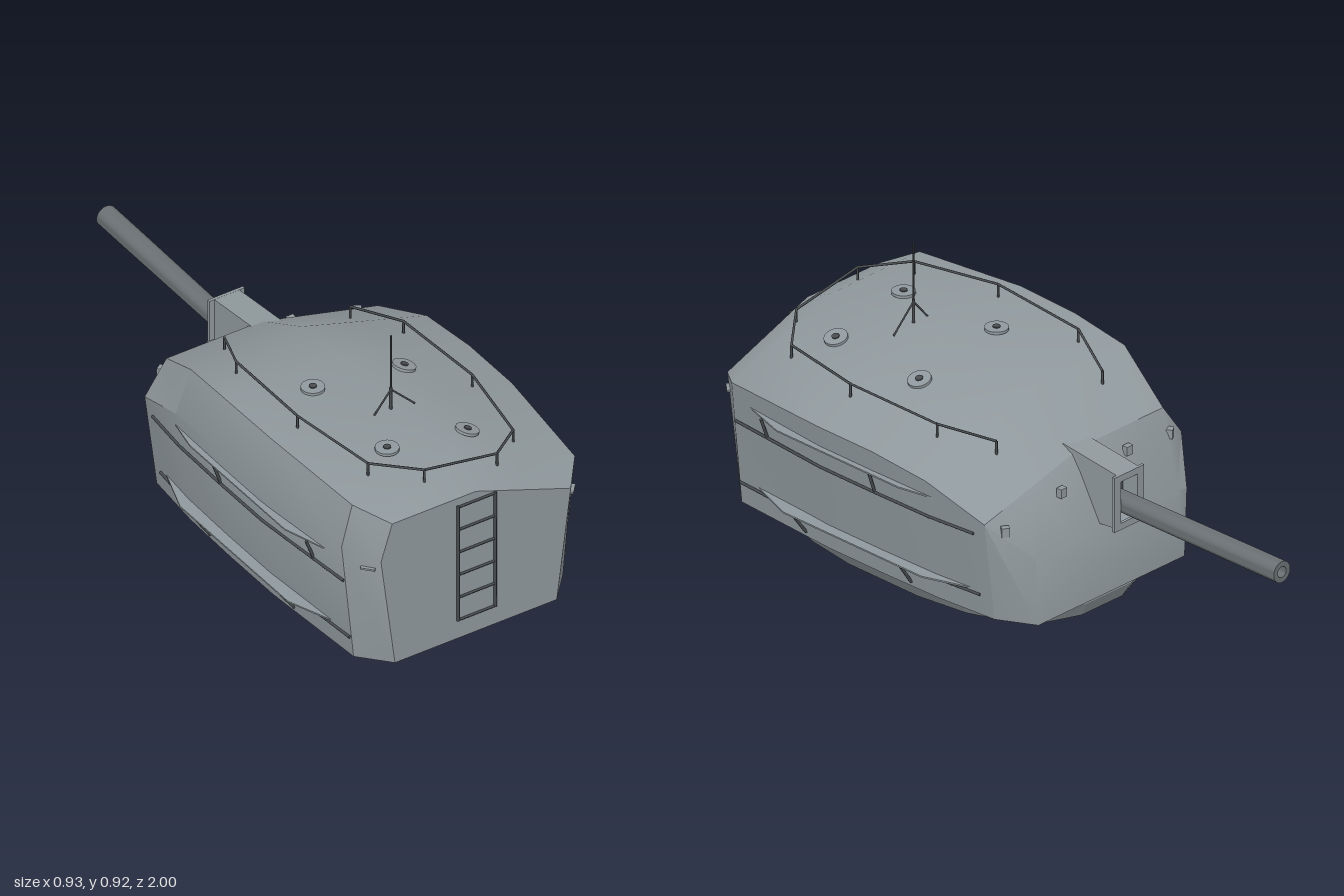
import * as THREE from 'three';
import { toCreasedNormals } from 'three/addons/utils/BufferGeometryUtils.js';

const armour = new THREE.MeshStandardMaterial({ color: 0x8f989c, side: THREE.DoubleSide });
const dark = new THREE.MeshStandardMaterial({ color: 0x484c4f });
const V = (x, y, z) => new THREE.Vector3(x, y, z);
const FLOOR = 0.075;

// Hull stations: z, roof height, high corner x, shoulder x, shoulder y, floor half width
const stations = [
  [0.99, 0.59, 0.30, 0.34, 0.465, 0.29],
  [0.895, 0.635, 0.38, 0.418, 0.495, 0.375],
  [0.5, 0.655, 0.41, 0.456, 0.51, 0.40],
  [0.27, 0.65, 0.408, 0.456, 0.51, 0.40],
  [0.05, 0.63, 0.395, 0.45, 0.49, 0.395],
  [-0.165, 0.52, 0.34, 0.418, 0.41, 0.375],
  [-0.285, 0.31, 0.28, 0.32, 0.30, 0.31],
];

// Interpolated station at any z
function stationAt(z) {
  let i = 0;
  while (i < stations.length - 2 && z < stations[i + 1][0]) i++;
  const a = stations[i], b = stations[i + 1];
  const t = THREE.MathUtils.clamp((a[0] - z) / (a[0] - b[0]), 0, 1);
  return a.map((v, k) => v + (b[k] - v) * t);
}
function roofY(x, z) {
  const [, top, , sx, sy] = stationAt(z);
  return x <= 0 ? top : top + (sy - top) * x / sx;
}
function sideX(y, z) {
  const [, , , sx, sy, b] = stationAt(z);
  return b + (sx - b) * (y - FLOOR) / (sy - FLOOR);
}

function add(parent, name, geometry, material, x = 0, y = 0, z = 0) {
  const mesh = new THREE.Mesh(geometry, material);
  mesh.name = name;
  mesh.position.set(x, y, z);
  parent.add(mesh);
  return mesh;
}
function addGroup(parent, name) {
  const group = new THREE.Group();
  group.name = name;
  parent.add(group);
  return group;
}
// Straight round bar between two points
function rod(parent, name, a, b, r = 0.004) {
  const mesh = add(parent, name, new THREE.CylinderGeometry(r, r, a.distanceTo(b), 6), dark);
  mesh.position.copy(a).add(b).multiplyScalar(0.5);
  mesh.quaternion.setFromUnitVectors(V(0, 1, 0), b.clone().sub(a).normalize());
}
function rodPath(parent, name, points, r) {
  for (let i = 1; i < points.length; i++) rod(parent, name, points[i - 1], points[i], r);
}
// Skin through equal rings, ordered counterclockwise seen from the first end
function loft(rings, capFirst, capLast) {
  const n = rings[0].length, pos = rings.flat().flatMap(p => p.toArray()), idx = [];
  for (let i = 0; i < rings.length - 1; i++)
    for (let j = 0; j < n; j++) {
      const a = i * n + j, b = i * n + (j + 1) % n;
      idx.push(a, a + n, b, b, a + n, b + n);
    }
  const last = (rings.length - 1) * n;
  for (let j = 1; j < n - 1; j++) {
    if (capFirst) idx.push(0, j, j + 1);
    if (capLast) idx.push(last, last + j + 1, last + j);
  }
  const g = new THREE.BufferGeometry();
  g.setAttribute('position', new THREE.Float32BufferAttribute(pos, 3));
  g.setIndex(idx);
  return g;
}
const rect = (w, h) => [[-w, -h], [w, -h], [w, h], [-w, h]].map(p => new THREE.Vector2(...p));

export function createModel() {
  const turret = new THREE.Group();
  turret.name = 'gunTurret';

  // Armoured hull with a roof that falls away to the model's left, and a smoothly rounded gun end
  const hullRings = stations.map(([z, top, cx, sx, sy, b]) => [
    V(-b, FLOOR, z), V(b, FLOOR, z), V(sx, sy, z), V(sx / 2, (top + sy) / 2, z),
    V(0, top, z), V(-cx, top, z), V(-sx, sy, z)]);
  add(turret, 'hull', toCreasedNormals(loft(hullRings.slice(0, 6), true, false), 0.52), armour);
  add(turret, 'hullNose', toCreasedNormals(loft(hullRings.slice(5), false, true), 1.0), armour);

  // Tapered base skirt, open below, around the turning ring
  const skirtRing = (y, rx, rz, cz) => Array.from({ length: 20 }, (_, i) => {
    const a = (i + 0.5) / 20 * Math.PI * 2, c = Math.cos(a), s = Math.sin(a), e = 0.75;
    return V(Math.sign(c) * Math.abs(c) ** e * rx, y, cz - Math.sign(s) * Math.abs(s) ** e * rz);
  });
  const skirt = loft([skirtRing(0.076, 0.385, 0.63, 0.347), skirtRing(0.065, 0.385, 0.63, 0.347),
    skirtRing(0.01, 0.347, 0.582, 0.332)], false, false);
  add(turret, 'baseSkirt', toCreasedNormals(skirt, 0.2), armour);
  add(turret, 'turningRing', new THREE.CylinderGeometry(0.28, 0.28, 0.08, 40), armour, 0, 0.04, 0.2);

  // Gun shroud: two cheeks, lid, floor and front frame
  const shroud = addGroup(turret, 'gunShroud');
  const cheek = new THREE.Shape([[0.12, 0.53], [0.35, 0.505], [0.35, 0.325], [0.26, 0.315], [0.12, 0.32]]
    .map(p => new THREE.Vector2(...p)));
  for (const x of [-0.045, 0.033]) {
    const g = new THREE.ExtrudeGeometry(cheek, { depth: 0.012, bevelEnabled: false });
    g.rotateY(Math.PI / 2);
    add(shroud, 'shroudCheek', g, armour, x);
  }
  add(shroud, 'shroudLid', new THREE.BoxGeometry(0.09, 0.012, 0.23), armour, 0, 0.512, -0.236).rotation.x = -0.108;
  add(shroud, 'shroudFloor', new THREE.BoxGeometry(0.09, 0.012, 0.15), armour, 0, 0.328, -0.276);
  add(shroud, 'shroudBack', new THREE.BoxGeometry(0.08, 0.18, 0.01), dark, 0, 0.415, -0.295);
  const frame = new THREE.Shape(rect(0.063, 0.092));
  frame.holes.push(new THREE.Path(rect(0.035, 0.07)));
  add(shroud, 'shroudFrame', new THREE.ExtrudeGeometry(frame, { depth: 0.01, bevelEnabled: false }),
    armour, 0, 0.414, -0.36);

  // Hollow barrel, raised slightly
  const barrel = new THREE.LatheGeometry([[0.018, 0.6], [0.018, 0.76], [0.035, 0.76], [0.035, 0.6], [0.033, 0]]
    .map(p => new THREE.Vector2(...p)), 24);
  const barrelMesh = add(turret, 'barrel', toCreasedNormals(barrel, 0.6),
    new THREE.MeshStandardMaterial({ color: 0x6a7073, side: THREE.DoubleSide }), 0, 0.394, -0.24);
  barrelMesh.rotation.x = -Math.PI / 2 + 0.016;
  add(turret, 'boreEnd', new THREE.CylinderGeometry(0.019, 0.019, 0.01, 16), dark, 0, 0.404, -0.84).rotation.x = Math.PI / 2;

  // Rear ladder
  const ladder = addGroup(turret, 'ladder');
  for (const x of [-0.066, 0.066]) rod(ladder, 'ladderRail', V(x, 0.143, 0.995), V(x, 0.565, 0.995), 0.005);
  for (let i = 0; i < 6; i++) {
    const y = 0.146 + i * 0.083;
    rod(ladder, 'ladderRung', V(-0.066, y, 0.995), V(0.066, y, 0.995));
  }

  // Roof railing on posts, open towards the gun
  const railing = addGroup(turret, 'roofRailing');
  const half = [[0.225, -0.025], [0.30, 0.15], [0.313, 0.5], [0.26, 0.8], [0.13, 0.908]];
  const railXZ = [...half.map(([x, z]) => [-x, z]), ...half.slice().reverse()];
  const railTop = railXZ.map(([x, z]) => V(x, roofY(x, z) + 0.043, z));
  rodPath(railing, 'railBar', railTop, 0.004);
  for (const p of railTop) rod(railing, 'railPost', V(p.x, p.y - 0.048, p.z), p);

  // Roof vents, those on the slope tilted with it
  for (const [x, z] of [[-0.165, 0.36], [0.16, 0.36], [-0.145, 0.73], [0.14, 0.73]]) {
    const vent = addGroup(turret, 'roofVent');
    vent.position.set(x, roofY(x, z), z);
    vent.rotation.z = x > 0 ? -0.3 : 0;
    add(vent, 'ventCap', new THREE.CylinderGeometry(0.037, 0.037, 0.009, 20), armour, 0, 0.007);
    add(vent, 'ventNeck', new THREE.CylinderGeometry(0.024, 0.024, 0.016, 16), armour);
    add(vent, 'ventKnob', new THREE.CylinderGeometry(0.012, 0.012, 0.006, 12), dark, 0, 0.012);
  }

  // Mast with two stays
  const mast = addGroup(turret, 'mast');
  rod(mast, 'mastFoot', V(-0.025, 0.645, 0.57), V(-0.025, 0.73, 0.57), 0.005);
  rod(mast, 'mastPole', V(-0.025, 0.72, 0.57), V(-0.025, 0.92, 0.57), 0.003);
  for (const x of [-0.095, 0.06]) rod(mast, 'mastStay', V(-0.025, 0.722, 0.57), V(x, 0.638, 0.57), 0.003);

  // Side walkways on two levels: plate, hull strip and struts
  const levels = [
    { y: 0.437, foot: 0.362, outer: 0.466, z0: 0.84, z1: -0.03, strip: 0.365, struts: [0.745, 0.275] },
    { y: 0.158, foot: 0.09, outer: 0.448, z0: 0.83, z1: -0.11, strip: 0.148, struts: [0.605, 0.16] }];
  const INSET = 0.18;
  for (const side of [-1, 1])
    for (const L of levels) {
      const walkway = addGroup(turret, 'sideWalkway');
      const outline = [];
      for (let i = 0; i <= 8; i++) {
        const z = L.z0 + (L.z1 - L.z0) * i / 8;
        outline.push(new THREE.Vector2(side * (sideX(L.y, z) - 0.006), -z));
      }
      outline.push(new THREE.Vector2(side * L.outer, -(L.z1 + INSET)), new THREE.Vector2(side * L.outer, -(L.z0 - INSET)));
      const plate = new THREE.ExtrudeGeometry(new THREE.Shape(outline), { depth: 0.005, bevelEnabled: false });
      plate.rotateX(-Math.PI / 2);
      add(walkway, 'walkwayPlate', plate, armour, 0, L.y - 0.002);
      const strip = [0.89, 0.7, 0.5, 0.27, 0.05, -0.12].map(z => V(side * (sideX(L.strip, z) + 0.003), L.strip, z));
      rodPath(walkway, 'hullStrip', strip, 0.005);
      for (const z of L.struts) {
        // Struts end at the plate edge, which tapers into the hull at both ends
        const taper = Math.min(1, (L.z0 - z) / INSET, (z - L.z1) / INSET);
        const edge = THREE.MathUtils.lerp(sideX(L.y, z), L.outer - 0.003, taper);
        rod(walkway, 'walkwayStrut', V(side * sideX(L.foot, z), L.foot, z), V(side * edge, L.y, z), 0.005);
      }
    }

  // Small fittings on the brow and rear corners
  for (const [x, y, z, turn] of [[-0.335, 0.45, -0.2, 0.6], [-0.15, 0.465, -0.205, 0], [0.14, 0.435, -0.215, 0], [0.37, 0.385, -0.205, -0.6]])
    add(turret, 'browBracket', new THREE.BoxGeometry(0.025, 0.03, 0.02), armour, x, y, z).rotation.y = turn;
  for (const x of [-0.362, 0.362])
    add(turret, 'rearStep', new THREE.BoxGeometry(0.045, 0.006, 0.025), armour, x, 0.434, 0.955).rotation.y = Math.sign(x) * 0.85;
  return turret;
}
